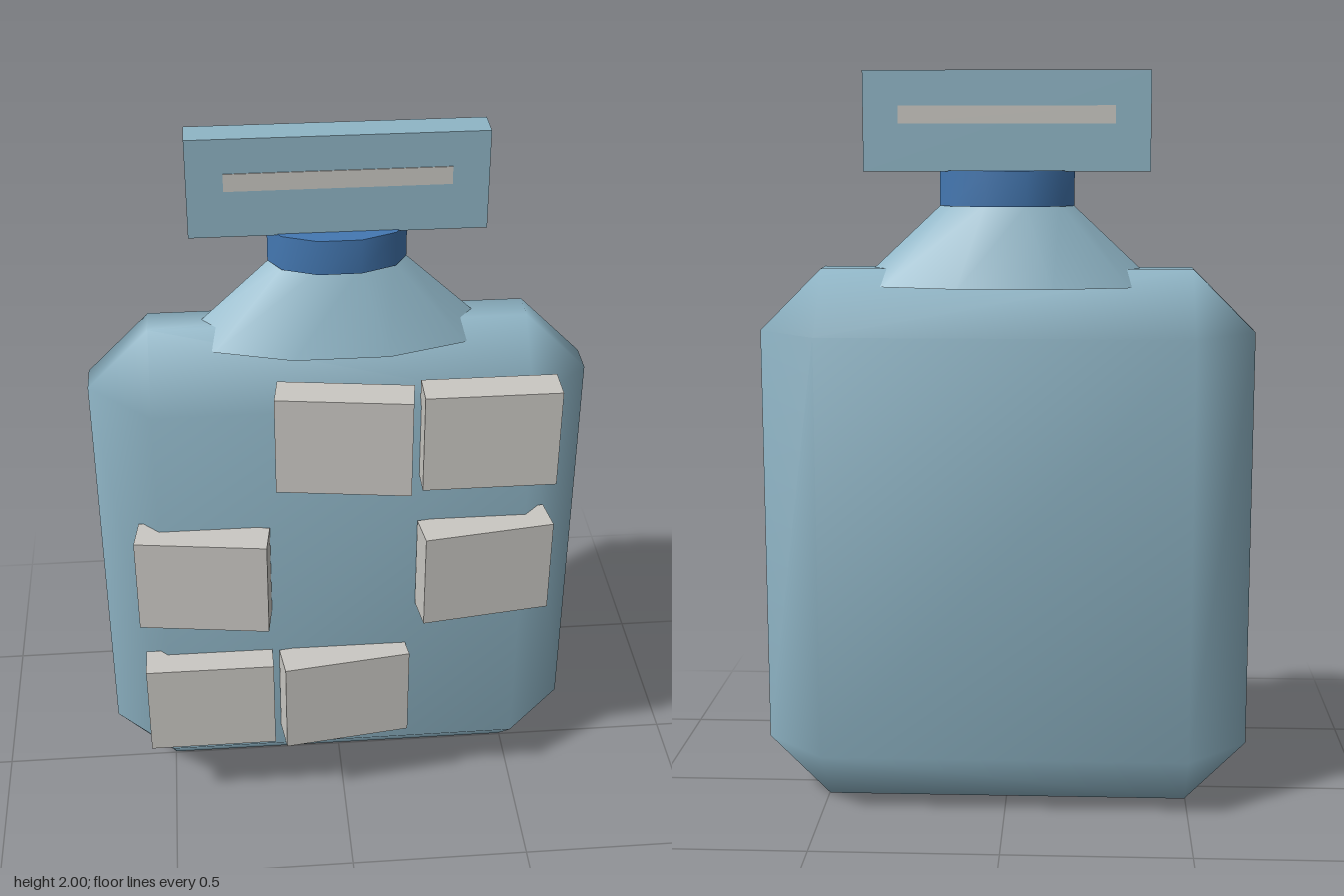
import * as THREE from 'three';
import { mergeVertices, toCreasedNormals } from 'three/addons/utils/BufferGeometryUtils.js';
import { ConvexGeometry } from 'three/addons/geometries/ConvexGeometry.js';

const DEPTH_CENTRE = -0.049; // z of the bottle's middle plane

// Box with one flat bevel on every edge, shaded smoothly
function bevelledBox(hx, hy, hz, bevel) {
  const points = [];
  for (const sx of [-1, 1]) for (const sy of [-1, 1]) for (const sz of [-1, 1]) {
    const inner = new THREE.Vector3(sx * (hx - bevel), sy * (hy - bevel), sz * (hz - bevel));
    points.push(
      inner.clone().add(new THREE.Vector3(sx * bevel, 0, 0)),
      inner.clone().add(new THREE.Vector3(0, sy * bevel, 0)),
      inner.clone().add(new THREE.Vector3(0, 0, sz * bevel)));
  }
  const hull = new ConvexGeometry(points);
  hull.deleteAttribute('normal');
  const geometry = mergeVertices(hull);
  geometry.computeVertexNormals();
  return geometry;
}

// Ten-sided oval frustum with a vertex on the x axis
function ovalFrustum(rTop, rBottom, height, flatten) {
  const geometry = new THREE.CylinderGeometry(rTop, rBottom, height, 10, 1, false, Math.PI / 2);
  geometry.scale(1, 1, flatten);
  return toCreasedNormals(geometry, 0.7);
}

export function createModel() {
  const model = new THREE.Group();
  model.name = 'bottle';

  const glass = new THREE.MeshStandardMaterial({ color: 0x8fb5c6 });
  glass.name = 'pale blue glass';
  const blue = new THREE.MeshStandardMaterial({ color: 0x4478b2 });
  blue.name = 'collar blue';
  const grey = new THREE.MeshStandardMaterial({ color: 0xcac8c3 });
  grey.name = 'warm grey';

  function add(name, geometry, material, x, y, z, turn = 0) {
    const mesh = new THREE.Mesh(geometry, material);
    mesh.name = name;
    mesh.position.set(x, y, z);
    mesh.rotation.y = turn;
    model.add(mesh);
  }

  // Bottle body, shoulder cone and collar
  add('body', bevelledBox(0.665, 0.74, 0.2125, 0.167), glass, 0, 0.74, DEPTH_CENTRE);
  add('neck', ovalFrustum(0.175, 0.405, 0.215, 0.41), glass, 0, 1.5425, DEPTH_CENTRE);
  add('collar', ovalFrustum(0.18, 0.18, 0.094, 0.55), blue, 0, 1.693, DEPTH_CENTRE);

  // Flat stopper with a stripe on both faces
  add('stopper', new THREE.BoxGeometry(0.76, 0.263, 0.086), glass, 0, 1.8685, DEPTH_CENTRE);
  for (const side of [1, -1]) {
    add(side > 0 ? 'frontStripe' : 'backStripe', new THREE.BoxGeometry(0.574, 0.047, 0.004),
      grey, 0, 1.885, DEPTH_CENTRE + side * 0.0435);
  }

  // Raised tiles on the front, some turned slightly: x, y, turn
  const tile = new THREE.BoxGeometry(0.356, 0.282, 0.095);
  const TURN = 0.134;
  [
    [0, 1.242, -TURN], [0.38, 1.242, 0],
    [-0.383, 0.812, -TURN], [0.383, 0.812, TURN],
    [-0.38, 0.384, 0], [0, 0.384, TURN],
  ].forEach(([x, y, turn], i) => add('tile' + (i + 1), tile, grey, x, y, 0.192, turn));

  return model;
}
